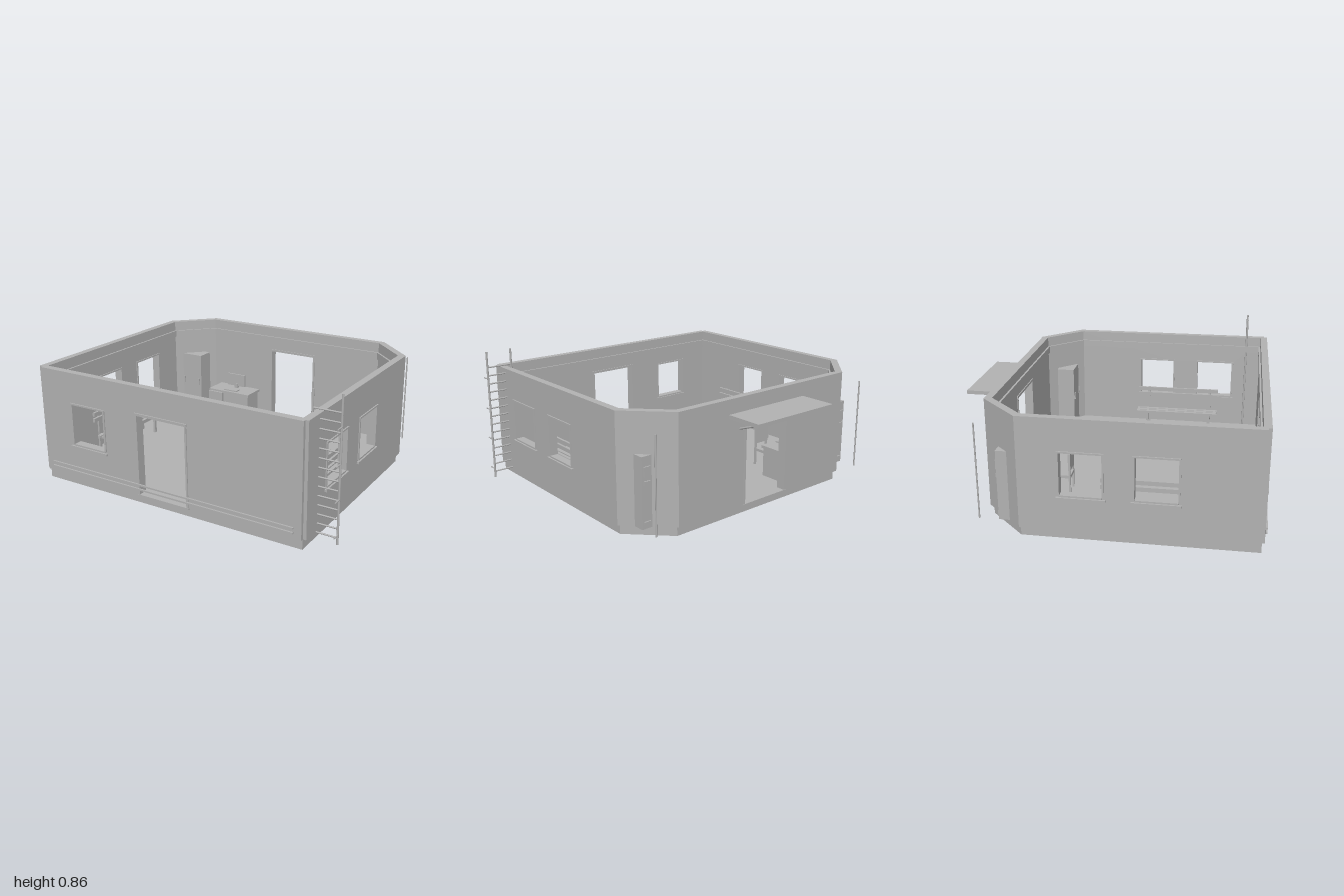
import * as THREE from 'three';

const grey = new THREE.MeshStandardMaterial({ color: 0xb2b2b2 });
grey.name = 'plain grey';

const FLOOR = 0.06, TOP = 0.735, T = 0.045;

function add(parent, name, geo, x = 0, y = 0, z = 0) {
  const m = new THREE.Mesh(geo, grey);
  m.name = name;
  m.position.set(x, y, z);
  parent.add(m);
  return m;
}

// Box given by its limits on each axis
function box(parent, name, x0, x1, y0, y1, z0, z1) {
  return add(parent, name, new THREE.BoxGeometry(x1 - x0, y1 - y0, z1 - z0),
    (x0 + x1) / 2, (y0 + y1) / 2, (z0 + z1) / 2);
}

// Round bar between two points
function bar(parent, name, a, b, r) {
  const p = new THREE.Vector3(...a), q = new THREE.Vector3(...b);
  const d = q.clone().sub(p);
  const m = add(parent, name, new THREE.CylinderGeometry(r, r, d.length(), 8));
  m.position.copy(p).add(q).multiplyScalar(0.5);
  m.quaternion.setFromUnitVectors(new THREE.Vector3(0, 1, 0), d.normalize());
}

// Wall running from one outer corner to the next; openings are [u0, u1, y0, y1]
function wall(parent, name, [x1, z1], [x2, z2], openings = []) {
  const g = new THREE.Group();
  g.name = name;
  g.position.set(x1, 0, z1);
  g.rotation.y = Math.atan2(z1 - z2, x2 - x1);
  parent.add(g);
  const len = Math.hypot(x2 - x1, z2 - z1);
  const rect = (P, a, b, c, d) => new P().moveTo(a, c).lineTo(b, c).lineTo(b, d).lineTo(a, d).closePath();
  let shape;
  const doors = openings.filter(o => o[2] <= FLOOR);
  // doors notch the lower edge, windows are holes
  shape = new THREE.Shape().moveTo(0, FLOOR);
  for (const [a, b, , d] of doors) shape.lineTo(a, FLOOR).lineTo(a, d).lineTo(b, d).lineTo(b, FLOOR);
  shape.lineTo(len, FLOOR).lineTo(len, TOP).lineTo(0, TOP).closePath();
  for (const [a, b, c, d] of openings) {
    if (c > FLOOR) shape.holes.push(rect(THREE.Path, a, b, c, d));
  }
  add(g, name + 'Panel', new THREE.ExtrudeGeometry(shape, { depth: T, bevelEnabled: false }), 0, 0, -T);
  // inner moulding below the rim
  box(g, 'moulding', 0.02, len - 0.02, 0.625, 0.67, -T - 0.012, -T);
  for (const [a, b, c, d] of openings) {
    if (c > FLOOR) {
      box(g, 'windowSill', a - 0.02, b + 0.02, 0.257, 0.27, -T - 0.012, 0.014);
      box(g, 'windowLintel', a - 0.012, b + 0.012, d, d + 0.01, -T - 0.006, 0.008);
      box(g, 'windowFrameBottom', a, b, 0.27, c, -T - 0.004, 0.004);
    } else {
      box(g, 'threshold', a - 0.015, b + 0.015, 0.052, FLOOR + 0.003, -T, 0.008);
      box(g, 'doorLintel', a - 0.015, b + 0.015, d, d + 0.015, -T - 0.006, 0.008);
    }
    for (const [s, e] of [[a - 0.012, a], [b, b + 0.012]]) {
      box(g, 'jamb', s, e, c > FLOOR ? c : FLOOR, d, -T - 0.006, 0.006);
    }
  }
}

function bench(parent, side, x0) {
  const g = new THREE.Group();
  g.name = 'bench';
  g.position.x = x0;
  g.scale.x = 1;
  parent.add(g);
  // slats run from the room (u = 0) to the wall (u = 0.13)
  const X = (u0, u1) => side > 0 ? [u0, u1] : [0.13 - u1, 0.13 - u0];
  for (const u of [0, 0.032, 0.064]) box(g, 'seatSlat', ...X(u, u + 0.024), 0.18, 0.195, -0.01, 0.58);
  for (const y of [0.28, 0.32]) box(g, 'backSlat', ...X(0.105, 0.12), y, y + 0.026, -0.01, 0.58);
  for (const z of [0.06, 0.51]) {
    box(g, 'seatBracket', ...X(0, 0.13), 0.165, 0.18, z, z + 0.018);
    box(g, 'backPost', ...X(0.118, 0.13), FLOOR, 0.345, z, z + 0.018);
    box(g, 'frontLeg', ...X(0.005, 0.02), FLOOR, 0.17, z, z + 0.018);
  }
}

// Tall cabinet that pokes through the angled corner
function cabinet(parent, x0, x1, outer) {
  const g = new THREE.Group();
  g.name = 'cornerCabinet';
  parent.add(g);
  box(g, 'cabinetBody', x0, x1, FLOOR, 0.49, -0.6, -0.48);
  const c = outer + (outer < 0 ? 0.035 : -0.035);
  for (const [y0, y1] of [[0.37, 0.43], [0.32, 0.345], [0.09, 0.105]]) {
    box(g, 'ventPlate', c - 0.022, c + 0.022, y0, y1, -0.608, -0.6);
  }
  for (const x of [x0 + 0.02, x1 - 0.02]) box(g, 'handle', x - 0.006, x + 0.006, 0.26, 0.31, -0.48, -0.472);
}

export function createModel() {
  const model = new THREE.Group();
  model.name = 'openRoofCabin';

  // Base and floor slab, cut at the back corners
  const base = new THREE.Shape([[-0.96, -0.9], [0.845, -0.9], [0.845, 0.455], [0.615, 0.685], [-0.73, 0.685], [-0.96, 0.455]]
    .map(p => new THREE.Vector2(...p)));
  add(model, 'base', new THREE.ExtrudeGeometry(base, { depth: FLOOR, bevelEnabled: false })).rotation.x = -Math.PI / 2;

  // Walls
  const W = [0.28, 0.535];
  wall(model, 'frontWall', [-0.96, 0.915], [0.845, 0.915], [[0.735, 1.07, FLOOR, 0.56], [0.24, 0.48, ...W]]);
  wall(model, 'rightWall', [0.865, 0.895], [0.865, -0.46], [[0.225, 0.475, ...W], [0.655, 0.895, ...W]]);
  wall(model, 'rightCornerWall', [0.865, -0.46], [0.62, -0.705]);
  wall(model, 'backWall', [0.62, -0.705], [-0.74, -0.705], [[0.51, 0.845, FLOOR, 0.56]]);
  wall(model, 'leftCornerWall', [-0.74, -0.705], [-0.985, -0.46]);
  wall(model, 'leftWall', [-0.985, -0.46], [-0.985, 0.895], [[0.24, 0.48, ...W], [0.66, 0.9, ...W]]);

  // Rails across the front
  for (const y of [0.097, 0.126]) box(model, 'frontRail', -0.91, 0.8, y - 0.005, y + 0.005, 0.919, 0.929);

  // Canopy over the back door
  box(model, 'canopy', -0.37, 0.25, 0.622, 0.645, -0.94, -0.705);
  for (const x of [-0.28, 0.16]) bar(model, 'canopyStrut', [x, 0.545, -0.705], [x, 0.625, -0.925], 0.006);

  // Ladder standing out from the right wall
  const ladder = new THREE.Group();
  ladder.name = 'ladder';
  model.add(ladder);
  for (const x of [0.82, 0.988]) bar(ladder, 'ladderRail', [x, 0.01, 0.77], [x, 0.862, 0.77], 0.007);
  for (let i = 0; i < 14; i++) {
    const y = 0.05 + i * 0.0546;
    bar(ladder, 'rung', [0.82, y, 0.77], [0.988, y, 0.77], 0.005);
  }
  for (const y of [0.07, 0.277, 0.48, 0.685]) bar(ladder, 'bracket', [0.99, y, 0.77], [0.99, y, 0.82], 0.004);

  // Corner cabinets and the poles behind them
  cabinet(model, -0.91, -0.74, -0.91);
  cabinet(model, 0.62, 0.795, 0.795);
  for (const x of [-0.908, 0.788]) bar(model, 'pole', [x, 0.06, -0.717], [x, 0.65, -0.717], 0.005);

  bench(model, -1, -0.885);
  bench(model, 1, 0.635);

  // Desk with monitor and keyboard
  const desk = new THREE.Group();
  desk.name = 'desk';
  model.add(desk);
  box(desk, 'deskTop', -0.635, -0.3, 0.25, 0.268, -0.6, -0.435);
  box(desk, 'deskSide', -0.625, -0.605, FLOOR, 0.25, -0.59, -0.445);
  box(desk, 'pedestal', -0.395, -0.31, FLOOR, 0.25, -0.59, -0.445);
  box(desk, 'backPanel', -0.605, -0.395, 0.13, 0.25, -0.59, -0.575);
  box(desk, 'monitor', -0.54, -0.395, 0.283, 0.372, -0.556, -0.545);
  box(desk, 'monitorStand', -0.48, -0.455, 0.268, 0.3, -0.562, -0.54);
  box(desk, 'keyboard', -0.52, -0.412, 0.268, 0.276, -0.5, -0.455);

  // Chair
  const chair = new THREE.Group();
  chair.name = 'chair';
  model.add(chair);
  box(chair, 'seat', -0.522, -0.412, 0.16, 0.178, -0.37, -0.26);
  box(chair, 'backrest', -0.522, -0.412, 0.21, 0.32, -0.275, -0.26);
  for (const x of [-0.522, -0.424]) {
    box(chair, 'backPost', x, x + 0.012, 0.17, 0.22, -0.273, -0.262);
    for (const z of [-0.37, -0.272]) box(chair, 'chairLeg', x, x + 0.012, FLOOR, 0.16, z, z + 0.012);
  }
  return model;
}
